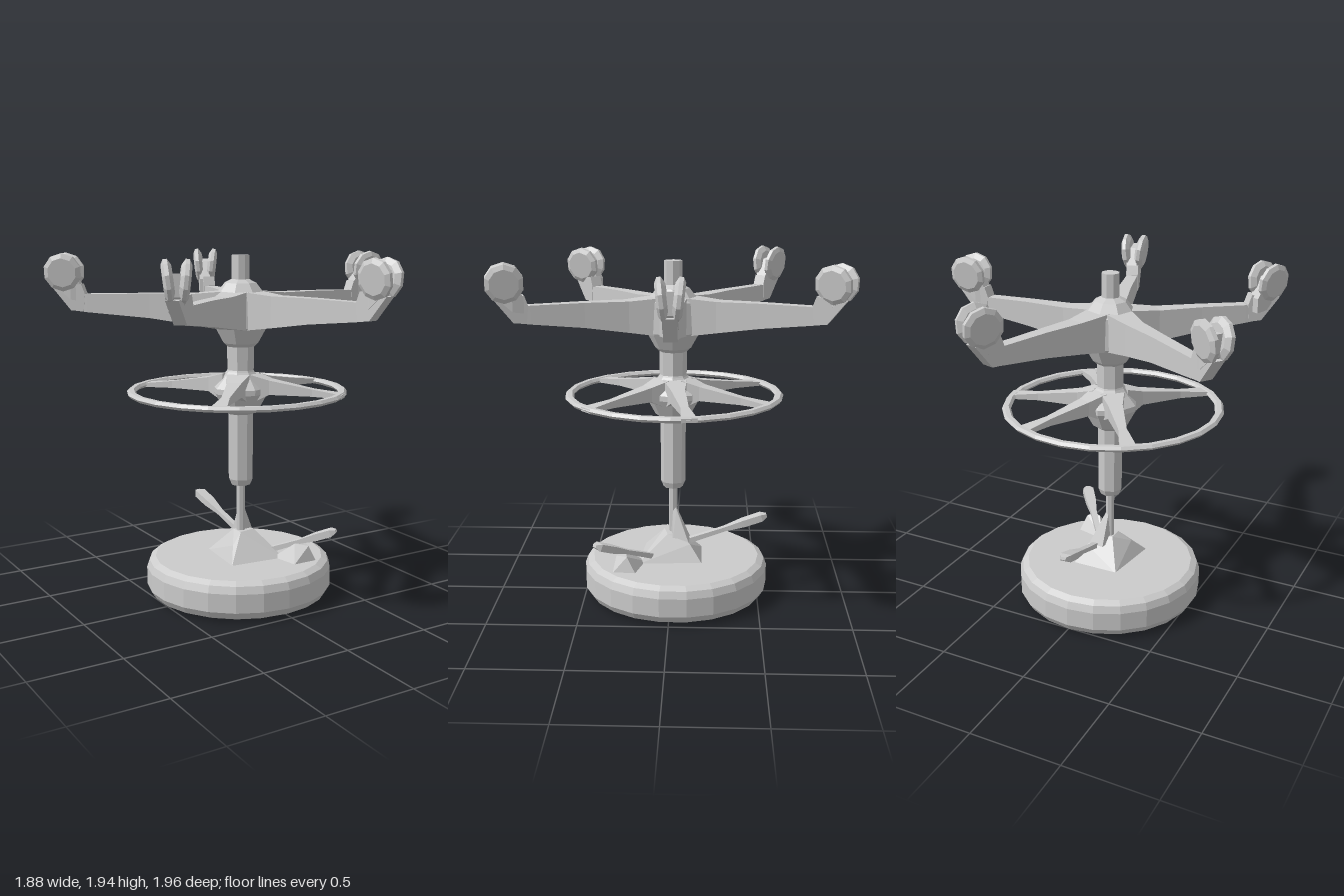
import * as THREE from 'three';
import { ConvexGeometry } from 'three/addons/geometries/ConvexGeometry.js';

const mat = new THREE.MeshStandardMaterial({ color: 0xcccccc, flatShading: true });
const V = (x, y, z) => new THREE.Vector3(x, y, z);
const rad = THREE.MathUtils.degToRad;

function add(parent, name, geometry) {
  const m = new THREE.Mesh(geometry, mat);
  m.name = name;
  parent.add(m);
  return m;
}

// Turned part from [radius, height] pairs, bottom to top
function turned(profile, sides) {
  return new THREE.LatheGeometry(profile.map(([r, y]) => new THREE.Vector2(r, y)), sides);
}

// Solid through rectangular sections [x, bottom, top, width], running along +x
function beam(sections) {
  const pts = [];
  const index = [];
  for (const [x, b, t, w] of sections) {
    pts.push(x, b, w / 2, x, b, -w / 2, x, t, -w / 2, x, t, w / 2);
  }
  const last = (sections.length - 1) * 4;
  for (let s = 0; s < last; s += 4) {
    for (let k = 0; k < 4; k++) {
      const a = s + k, b = s + (k + 1) % 4;
      index.push(a, b, b + 4, a, b + 4, a + 4);
    }
  }
  index.push(0, 2, 1, 0, 3, 2, last, last + 1, last + 2, last, last + 2, last + 3);
  const g = new THREE.BufferGeometry();
  g.setAttribute('position', new THREE.Float32BufferAttribute(pts, 3));
  g.setIndex(index);
  g.computeVertexNormals();
  return g;
}

// Twin-wheel caster, centred on its wheel axle, rolling along x
function caster() {
  const g = new THREE.Group();
  g.name = 'caster';
  for (const side of [-1, 1]) {
    const profile = [[0, -0.025], [0.075, -0.025], [0.105, -0.008], [0.105, 0.012], [0.08, 0.025], [0, 0.025]];
    const wheel = add(g, 'casterWheel', turned(profile, 10));
    wheel.rotation.x = side * (Math.PI / 2 + 0.12);
    wheel.position.z = side * 0.04;
  }
  add(g, 'casterFork', beam([[-0.1, -0.16, -0.08, 0.06], [-0.04, -0.15, 0.03, 0.08], [0.05, -0.07, 0.04, 0.07]]));
  return g;
}

export function createModel() {
  const model = new THREE.Group();
  model.name = 'upturnedStool';
  const axis = new THREE.Group();
  axis.name = 'stool';
  axis.position.set(-0.015, 0, -0.01);
  model.add(axis);

  // Round cushion lying on the ground
  const seat = add(axis, 'seat', turned([
    [0, 0], [0.46, 0], [0.505, 0.02], [0.53, 0.06], [0.53, 0.165], [0.515, 0.205], [0.48, 0.225], [0, 0.225]], 22));
  seat.position.set(-0.005, 0, -0.015);

  // Mechanism under the seat, with a fin beside the rod
  add(axis, 'mechanism', new ConvexGeometry([
    V(-0.16, 0.22, 0.17), V(0.17, 0.22, 0.2), V(0.15, 0.22, -0.17), V(-0.12, 0.22, -0.17),
    V(-0.1, 0.31, 0.08), V(0.1, 0.31, 0.1), V(0.1, 0.32, -0.1), V(-0.03, 0.37, 0.05),
    V(0.07, 0.37, 0.03), V(0.05, 0.37, -0.04), V(-0.03, 0.37, -0.03)]));
  add(axis, 'fin', new ConvexGeometry([
    V(0, 0.56, 0), V(0.025, 0.5, -0.02), V(-0.02, 0.33, 0.02), V(0.09, 0.33, 0), V(0.09, 0.33, -0.09), V(0, 0.33, -0.1)]));
  add(axis, 'leverHousing', new ConvexGeometry([
    V(0.12, 0.22, 0.15), V(0.31, 0.22, 0.2), V(0.3, 0.22, 0.33), V(0.15, 0.22, 0.33),
    V(0.2, 0.32, 0.26), V(0.28, 0.31, 0.25), V(0.26, 0.31, 0.31)]));

  // Two control levers with flattened paddles
  const levers = [[V(0.13, 0.26, 0.12), V(0.37, 0.41, 0.42)], [V(0.05, 0.33, -0.1), V(0.015, 0.475, -0.54)]];
  for (const [from, to] of levers) {
    const d = to.clone().sub(from), L = d.length();
    const lever = add(axis, 'lever', beam([
      [0, -0.015, 0.015, 0.03], [L * 0.45, -0.012, 0.012, 0.035], [L * 0.7, -0.02, 0.02, 0.06],
      [L * 0.93, -0.02, 0.02, 0.065], [L, -0.008, 0.008, 0.03]]));
    lever.position.copy(from);
    lever.rotation.set(0, Math.atan2(-d.z, d.x), Math.asin(d.y / L), 'YXZ');
  }

  // Central column
  add(axis, 'gasRod', turned([[0.025, 0.22], [0.025, 0.68]], 8));
  add(axis, 'column', turned([[0, 0.64], [0.055, 0.64], [0.07, 0.675], [0.072, 1.1], [0.078, 1.44], [0, 1.44]], 8));
  add(axis, 'ringHub', turned([
    [0.07, 1.05], [0.1, 1.07], [0.155, 1.17], [0.155, 1.2], [0.11, 1.25], [0.08, 1.29], [0.075, 1.3]], 8));
  add(axis, 'baseHub', turned([
    [0.078, 1.43], [0.1, 1.45], [0.15, 1.54], [0.145, 1.71], [0.09, 1.78], [0.05, 1.8], [0.05, 1.93], [0, 1.93]], 8));

  // Foot ring and its tapering spokes
  const ring = add(axis, 'footRing', new THREE.TorusGeometry(0.59, 0.025, 6, 24));
  ring.rotation.x = Math.PI / 2;
  ring.scale.z = 0.7;
  ring.position.set(-0.02, 1.18, -0.005);
  for (const a of [50, 132, 235, 295, 350]) {
    const spoke = add(axis, 'ringSpoke', beam([
      [0.08, 1.12, 1.28, 0.13], [0.18, 1.17, 1.25, 0.08], [0.42, 1.17, 1.21, 0.045], [0.59, 1.168, 1.19, 0.085]]));
    spoke.rotation.y = -rad(a);
  }

  // Five arms: [angle, caster distance, caster twist]
  const arms = [[-1, 0.865, 0], [73, 0.92, 5], [141, 0.885, -25], [215.5, 0.98, 0], [287, 0.9, 15]];
  for (const [angle, reach, twist] of arms) {
    const arm = new THREE.Group();
    arm.name = 'arm';
    arm.rotation.y = -rad(angle);
    axis.add(arm);
    const end = reach - 0.07;
    add(arm, 'armBeam', beam([
      [0.04, 1.52, 1.74, 0.17], [0.26, 1.55, 1.72, 0.1], [0.5, 1.585, 1.72, 0.075],
      [end - 0.06, 1.615, 1.715, 0.065], [end + 0.02, 1.625, 1.7, 0.06]]));
    const c = caster();
    c.position.set(reach, 1.835, 0);
    c.rotation.y = -rad(twist);
    arm.add(c);
    // Bent stem from arm tip up to the caster
    add(arm, 'casterStem', new ConvexGeometry([-0.035, 0.035].flatMap((z) => [
      V(end - 0.04, 1.62, z), V(end + 0.03, 1.625, z), V(end - 0.05, 1.715, z),
      V(reach - 0.1, 1.77, z), V(reach + 0.06, 1.75, z)])));
  }
  return model;
}
